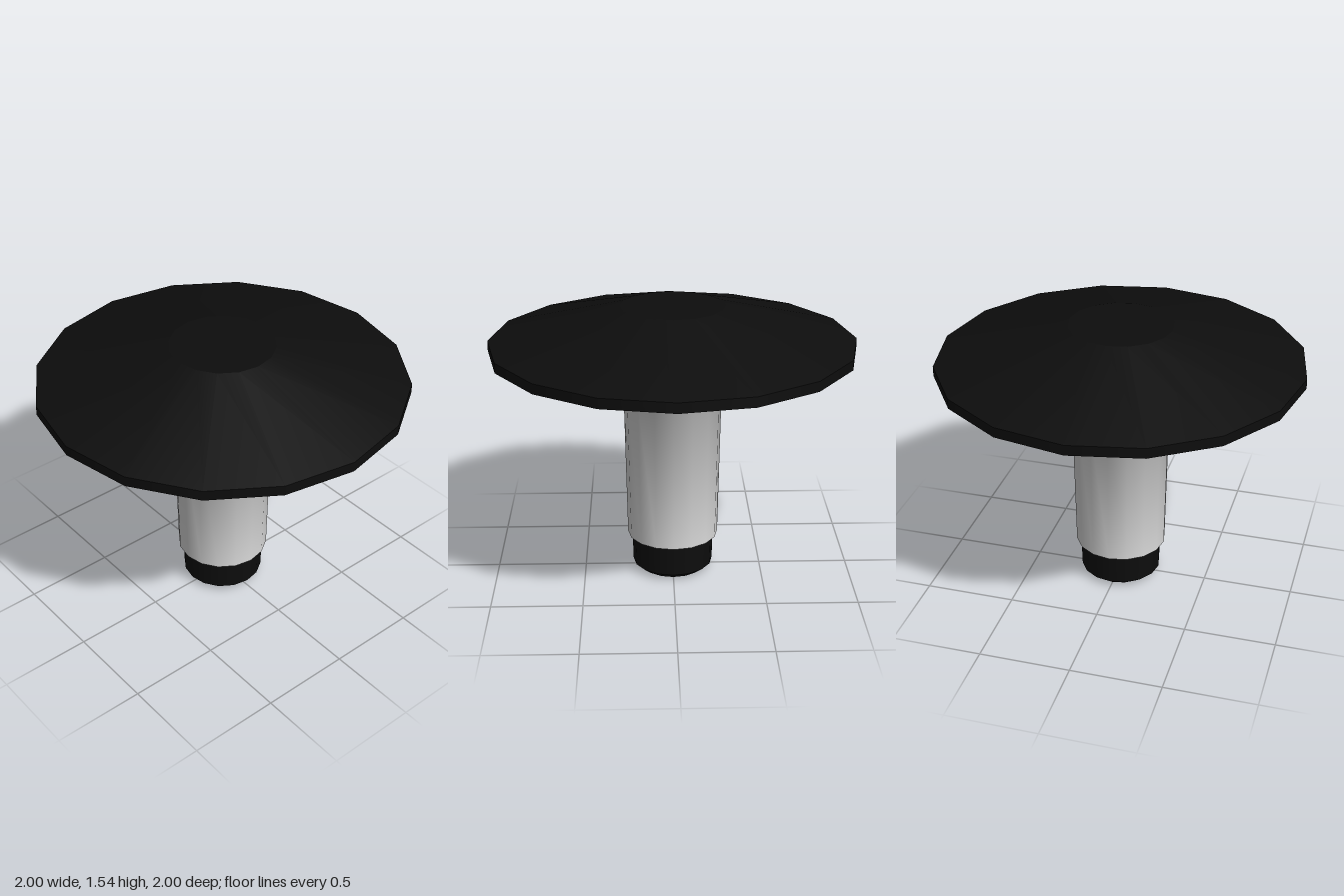
import * as THREE from 'three';

const SIDES = 16;

export function createModel() {
  const black = new THREE.MeshStandardMaterial({ color: 0x0d0d0d });
  black.name = 'black';
  const lightGrey = new THREE.MeshStandardMaterial({ color: 0xdcdcdc, side: THREE.DoubleSide });
  lightGrey.name = 'lightGrey';

  const model = new THREE.Group();
  model.name = 'flaredPeg';

  // One turned strip per profile: smooth inside a strip, sharp between strips.
  // Profiles running upwards face outwards, downwards face inwards.
  function turned(name, material, ...profiles) {
    const part = new THREE.Group();
    part.name = name;
    profiles.forEach((profile, i) => {
      const points = profile.map(([r, y]) => new THREE.Vector2(r, y));
      const mesh = new THREE.Mesh(new THREE.LatheGeometry(points, SIDES), material);
      mesh.name = `${name}Surface${i + 1}`;
      part.add(mesh);
    });
    model.add(part);
  }

  // Chamfered foot
  turned('foot', black,
    [[0, 0.005], [0.18, 0.005]],
    [[0.18, 0.005], [0.225, 0.04]],
    [[0.225, 0.04], [0.23, 0.215]]);

  // Tapered stem opening into a wide flare with an upright lip
  turned('stem', lightGrey,
    [[0.2, 0.215], [0.255, 0.215]],
    [[0.255, 0.215], [0.27, 1.06], [0.77, 1.345]],
    [[0.77, 1.345], [0.77, 1.412]]);

  // Cap: short rim, sloping top, flat centre
  turned('cap', black,
    [[1, 1.3], [1, 1.355]],
    [[1, 1.355], [0.285, 1.547]],
    [[0.285, 1.547], [0, 1.547]]);

  // Hollow underside of the cap
  turned('capLining', lightGrey,
    [[0.285, 1.54], [0.995, 1.35]],
    [[0.995, 1.35], [0.999, 1.3]]);

  return model;
}
